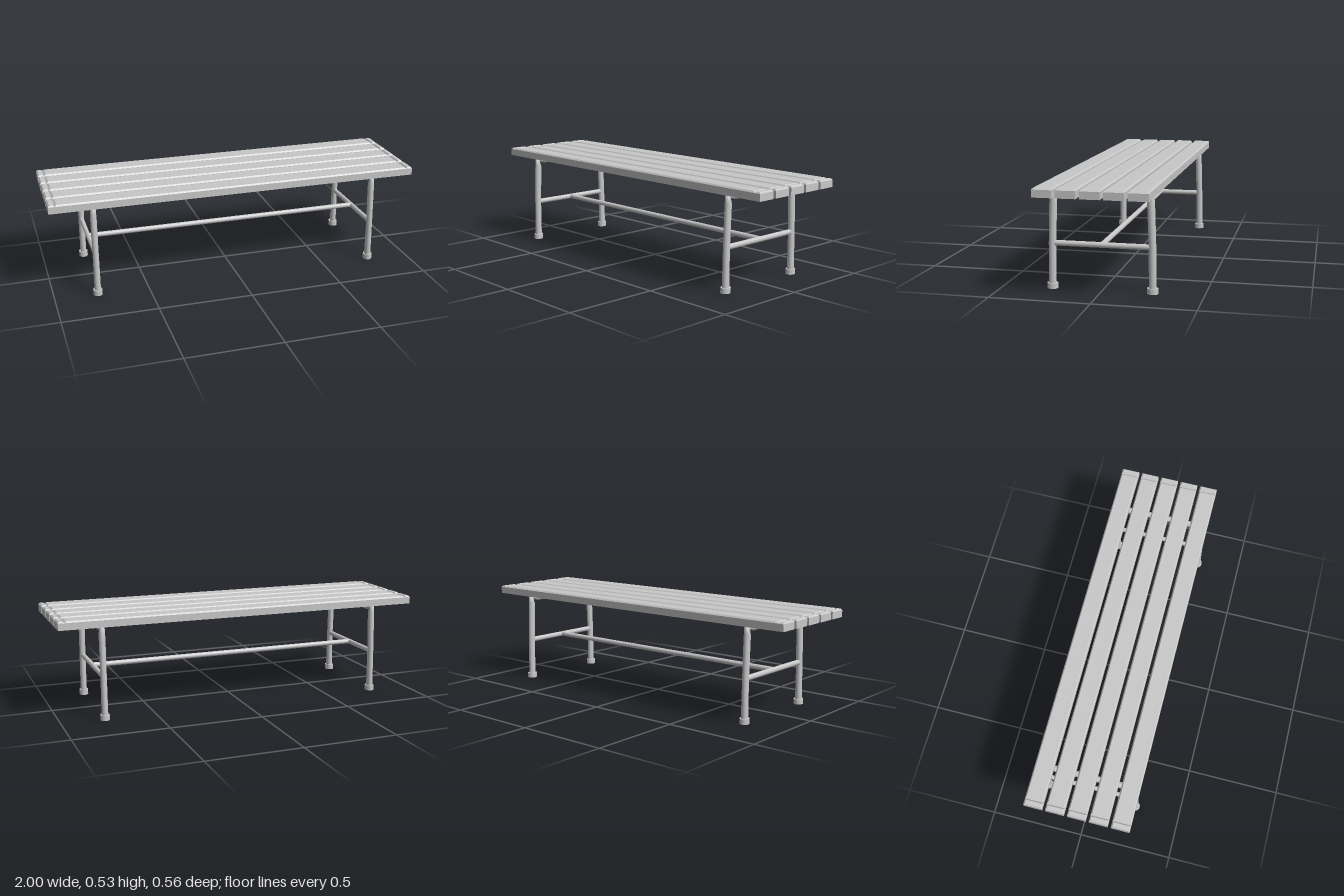
import * as THREE from 'three';

const metal = new THREE.MeshStandardMaterial({ color: 0xc8c8c8, side: THREE.DoubleSide });
metal.name = 'plain grey';

function add(parent, name, geometry, x = 0, y = 0, z = 0) {
  const mesh = new THREE.Mesh(geometry, metal);
  mesh.name = name;
  mesh.position.set(x, y, z);
  parent.add(mesh);
  return mesh;
}

// Box without the listed sides (0 +x, 1 -x, 2 top, 3 bottom, 4 +z, 5 -z)
function openBox(w, h, d, omit) {
  const g = new THREE.BoxGeometry(w, h, d);
  g.setIndex([...g.index.array].filter((v, i) => !omit.includes(Math.floor(i / 6))));
  return g;
}

// Bottomless lid whose top face is drawn in on all sides, giving a chamfered edge
function chamferedLid(w, h, d, insetX, insetZ) {
  const g = openBox(w, h, d, [3]).toNonIndexed();
  const p = g.attributes.position;
  for (let i = 0; i < p.count; i++) {
    if (p.getY(i) > 0) {
      p.setX(i, p.getX(i) - Math.sign(p.getX(i)) * insetX);
      p.setZ(i, p.getZ(i) - Math.sign(p.getZ(i)) * insetZ);
    }
  }
  g.computeVertexNormals();
  return g;
}

// Round tube swept through rings of [z, y, tangent angle, radius]
function sweptTube(rings, sides = 20) {
  const pos = [], index = [];
  rings.forEach(([z, y, angle, r], i) => {
    const tz = Math.cos(angle), ty = Math.sin(angle);
    for (let j = 0; j < sides; j++) {
      const a = (j / sides) * Math.PI * 2;
      pos.push(r * Math.cos(a), y + r * Math.sin(a) * tz, z - r * Math.sin(a) * ty);
      if (i < rings.length - 1) {
        const k = (j + 1) % sides;
        const p = i * sides + j, q = i * sides + k;
        index.push(p, q, p + sides, q, q + sides, p + sides);
      }
    }
  });
  const g = new THREE.BufferGeometry();
  g.setAttribute('position', new THREE.Float32BufferAttribute(pos, 3));
  g.setIndex(index);
  g.computeVertexNormals();
  return g;
}

// Bent frame: leg up, pinched corner, slightly arched rail, then mirrored down
function frameGeometry() {
  const up = Math.PI / 2;
  const half = [
    [0.2507, 0.01, up, 0.0195],
    [0.2485, 0.23, up + 0.02, 0.0185],
    [0.2415, 0.425, up + 0.04, 0.0192],
    [0.2408, 0.448, up + 0.1, 0.0184],
    [0.2435, 0.482, up + Math.PI / 4, 0.0165],
    [0.195, 0.478, Math.PI, 0.0192],
  ];
  const mirrored = half.map(([z, y, a, r]) => [-z, y, 2 * Math.PI - a, r]).reverse();
  return sweptTube([...half, [0, 0.4825, Math.PI, 0.018], ...mirrored]);
}

export function createModel() {
  const bench = new THREE.Group();
  bench.name = 'bench';

  // Five hollow seat slats, open underneath, each with a groove near both ends
  const width = 0.097;
  for (let i = -2; i <= 2; i++) {
    const slat = new THREE.Group();
    slat.name = 'slat';
    slat.position.z = i * 0.1138;
    add(slat, 'slatWalls', openBox(2, 0.037, width, [2, 3]), 0, 0.5085, 0);
    add(slat, 'slatTop', chamferedLid(1.934, 0.0075, width, 0.01, 0.007), 0, 0.53075, 0);
    for (const s of [-1, 1]) {
      add(slat, 'slatEnd', chamferedLid(0.033, 0.0075, width, 0.007, 0.007), s * 0.9835, 0.53075, 0);
    }
    bench.add(slat);
  }

  // Two end frames of slightly oval tube, with feet and a cross bar
  const frameGeo = frameGeometry();
  for (const s of [-1, 1]) {
    const frame = new THREE.Group();
    frame.name = 'endFrame';
    frame.position.x = s * 0.773;
    frame.scale.x = 0.88;
    add(frame, 'legsAndRail', frameGeo);
    add(frame, 'crossBar', new THREE.CylinderGeometry(0.0142, 0.0142, 0.472, 20), 0, 0.228, 0)
      .rotation.x = Math.PI / 2;
    for (const t of [-1, 1]) {
      add(frame, 'foot', new THREE.CylinderGeometry(0.0275, 0.0275, 0.028, 20), 0, 0.014, t * 0.2505);
    }
    bench.add(frame);
  }

  // Long bar joining the two cross bars
  add(bench, 'stretcher', new THREE.CylinderGeometry(0.0135, 0.0135, 1.546, 20), 0, 0.229, 0)
    .rotation.z = Math.PI / 2;

  return bench;
}
